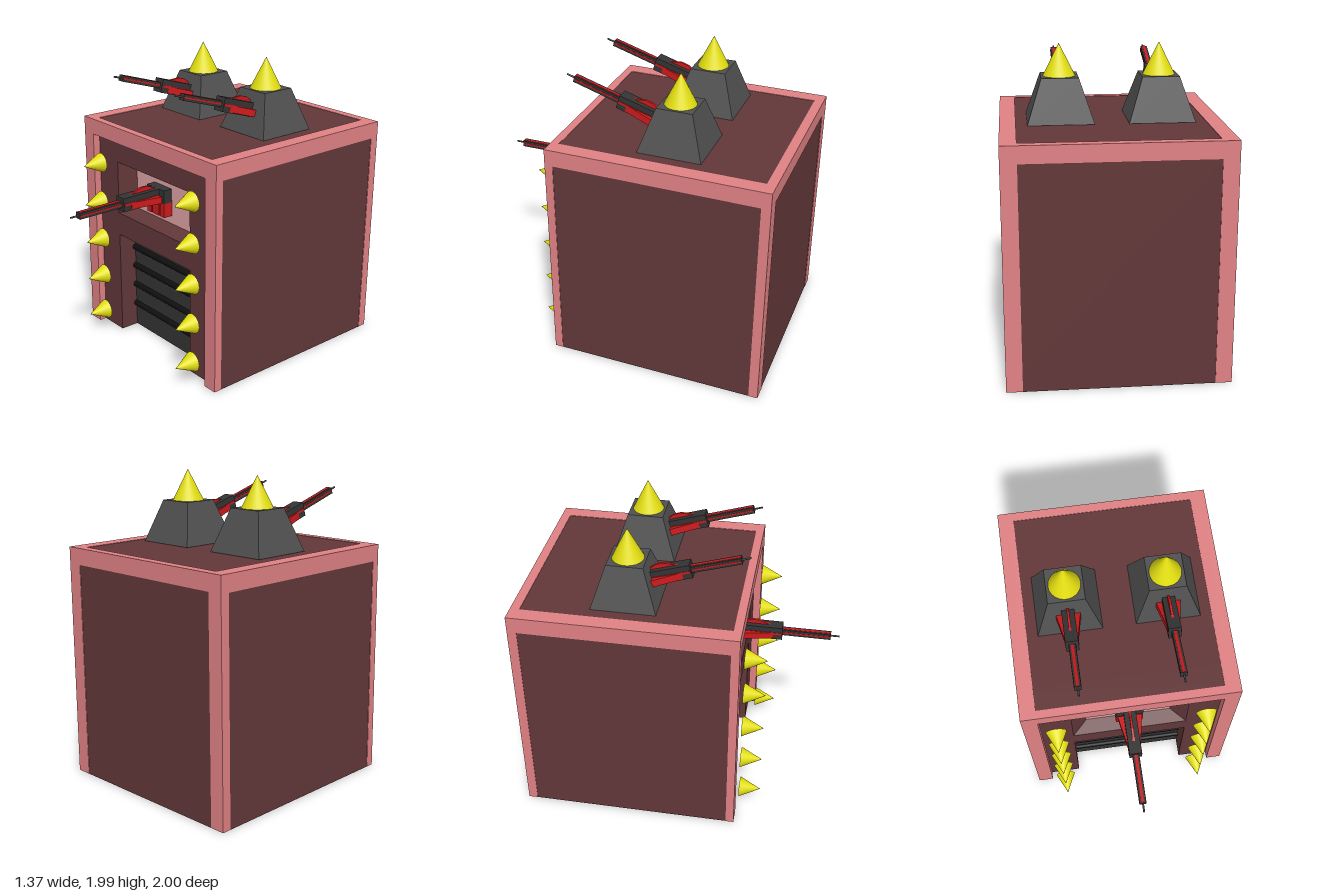
import * as THREE from 'three';

const paint = (color, extra = {}) => new THREE.MeshStandardMaterial({ color, ...extra });
const PINK = paint(0xe08184), WALL = paint(0x623739), PANE = paint(0xdfa2a5);
const DARK = paint(0x343434), GREY = paint(0x505050), BLACK = paint(0x101010);
const RED = paint(0xcc1a1c), YELLOW = paint(0xe2de10);

function add(parent, name, geometry, material, x = 0, y = 0, z = 0) {
  const mesh = new THREE.Mesh(geometry, material);
  mesh.name = name;
  mesh.position.set(x, y, z);
  parent.add(mesh);
  return mesh;
}

// Box given by its extents
function block(parent, name, material, x0, x1, y0, y1, z0, z1) {
  return add(parent, name, new THREE.BoxGeometry(x1 - x0, y1 - y0, z1 - z0), material,
    (x0 + x1) / 2, (y0 + y1) / 2, (z0 + z1) / 2);
}

// Four-sided tapered prism along y, from bottom size to top size
function frustum(bottom, top, height, open = false) {
  const g = new THREE.CylinderGeometry(Math.SQRT2, Math.SQRT2, height, 4, 1, open)
    .rotateY(Math.PI / 4).toNonIndexed();
  const p = g.attributes.position;
  for (let i = 0; i < p.count; i++) {
    const [w, d] = p.getY(i) > 0 ? top : bottom;
    p.setX(i, p.getX(i) * w / 2);
    p.setZ(i, p.getZ(i) * d / 2);
  }
  g.computeVertexNormals();
  return g;
}

function plate(points, depth) {
  const shape = new THREE.Shape(points.map(([x, y]) => new THREE.Vector2(x, y)));
  return new THREE.ExtrudeGeometry(shape, { depth, bevelEnabled: false });
}

// Gun with its muzzle at the origin, pointing along +z
function makeGun(name) {
  const gun = new THREE.Group();
  gun.name = name;
  add(gun, 'muzzle', new THREE.CylinderGeometry(0.006, 0.006, 0.06, 8).rotateX(Math.PI / 2), GREY, 0, 0, -0.03);
  block(gun, 'barrel', DARK, -0.021, 0.021, -0.02, 0.02, -0.38, -0.055);
  block(gun, 'barrelSideStripe', RED, -0.023, 0.023, -0.005, 0.005, -0.38, -0.058);
  block(gun, 'barrelTopStripe', RED, -0.009, 0.009, -0.018, 0.022, -0.38, -0.058);
  block(gun, 'receiver', DARK, -0.04, 0.04, -0.045, 0.045, -0.68, -0.37);
  block(gun, 'receiverStripe', RED, -0.043, 0.043, -0.008, 0.008, -0.68, -0.375);
  // Upright fin on top
  const fin = plate([[0.44, 0.04], [0.53, 0.073], [0.58, 0.073], [0.66, 0.04]], 0.016);
  add(gun, 'topFin', fin.rotateY(Math.PI / 2), RED, -0.008, 0, 0);
  // Swept side wings
  for (const s of [-1, 1]) {
    const wing = plate([[s * 0.03, 0.43], [s * 0.041, 0.43], [s * 0.08, 0.64], [s * 0.03, 0.64]], 0.045);
    add(gun, 'sideWing', wing.rotateX(-Math.PI / 2), RED, 0, -0.04, 0);
  }
  // Rear mount with three red legs
  block(gun, 'mount', DARK, -0.09, 0.09, -0.045, 0.045, -0.715, -0.65);
  block(gun, 'mountBack', DARK, -0.088, 0.088, -0.138, -0.045, -0.715, -0.66);
  for (const [x0, x1] of [[-0.09, -0.045], [-0.035, 0.035], [0.045, 0.09]])
    block(gun, 'mountLeg', RED, x0, x1, -0.14, -0.045, -0.713, -0.65);
  return gun;
}

export function createModel() {
  const model = new THREE.Group();
  model.name = 'fortress';

  // Main body and front wall with door and window openings
  block(model, 'body', WALL, -0.682, 0.682, 0, 1.517, -0.997, 0.23);
  const wall = new THREE.Shape([[-0.682, 0], [-0.38, 0], [-0.38, 0.73], [0.38, 0.73], [0.38, 0],
    [0.682, 0], [0.682, 1.517], [-0.682, 1.517]].map(([x, y]) => new THREE.Vector2(x, y)));
  wall.holes.push(new THREE.Path([[-0.38, 0.89], [-0.38, 1.255], [0.38, 1.255], [0.38, 0.89]]
    .map(([x, y]) => new THREE.Vector2(x, y))));
  add(model, 'frontWall', new THREE.ExtrudeGeometry(wall, { depth: 0.145, bevelEnabled: false }), WALL, 0, 0, 0.23);

  // Pink edge frame
  for (const s of [-1, 1]) {
    const [x0, x1] = s < 0 ? [-0.685, -0.585] : [0.585, 0.685];
    block(model, 'frontPost', PINK, x0, x1, 0.002, 1.52, 0.372, 0.425);
    block(model, 'backPost', PINK, x0, x1, 0.002, 1.52, -1, -0.94);
    block(model, 'sideBeam', PINK, x0, x1, 1.413, 1.52, -0.94, 0.372);
  }
  block(model, 'frontBeam', PINK, -0.585, 0.585, 1.413, 1.52, 0.372, 0.425);
  block(model, 'backBeam', PINK, -0.585, 0.585, 1.413, 1.52, -1, -0.94);

  // Window with splayed reveal
  const reveal = frustum([0.56, 0.275], [0.76, 0.365], 0.09, true).rotateX(Math.PI / 2);
  add(model, 'windowReveal', reveal, paint(0x623739, { side: THREE.DoubleSide }), 0, 1.0725, 0.33);
  block(model, 'windowPane', PANE, -0.285, 0.285, 0.93, 1.215, 0.275, 0.287);

  // Shutter door with round ribs
  block(model, 'door', DARK, -0.38, 0.38, 0, 0.73, 0.22, 0.245);
  for (const y of [0.605, 0.465, 0.318, 0.168])
    add(model, 'doorRib', new THREE.CylinderGeometry(0.021, 0.021, 0.76, 12).rotateZ(Math.PI / 2), BLACK, 0, y, 0.247);

  // Spikes beside the door
  for (const x of [-0.482, 0.482])
    for (let i = 0; i < 5; i++)
      add(model, 'spike', new THREE.ConeGeometry(0.067, 0.14, 24).rotateX(Math.PI / 2), YELLOW, x, 0.14 + i * 0.275, 0.508);

  // Roof turrets with cone tops and raised guns
  for (const x of [-0.31, 0.31]) {
    add(model, 'turretBase', frustum([0.41, 0.41], [0.23, 0.23], 0.27), GREY, x, 1.655, -0.315);
    add(model, 'turretCone', new THREE.ConeGeometry(0.1, 0.2, 32), YELLOW, x, 1.89, -0.315);
    const gun = makeGun('turretGun');
    gun.position.set(x, 1.86, 0.43);
    gun.rotation.x = -0.3;
    model.add(gun);
  }

  const windowGun = makeGun('windowGun');
  windowGun.position.set(0, 1.13, 1);
  model.add(windowGun);
  return model;
}
